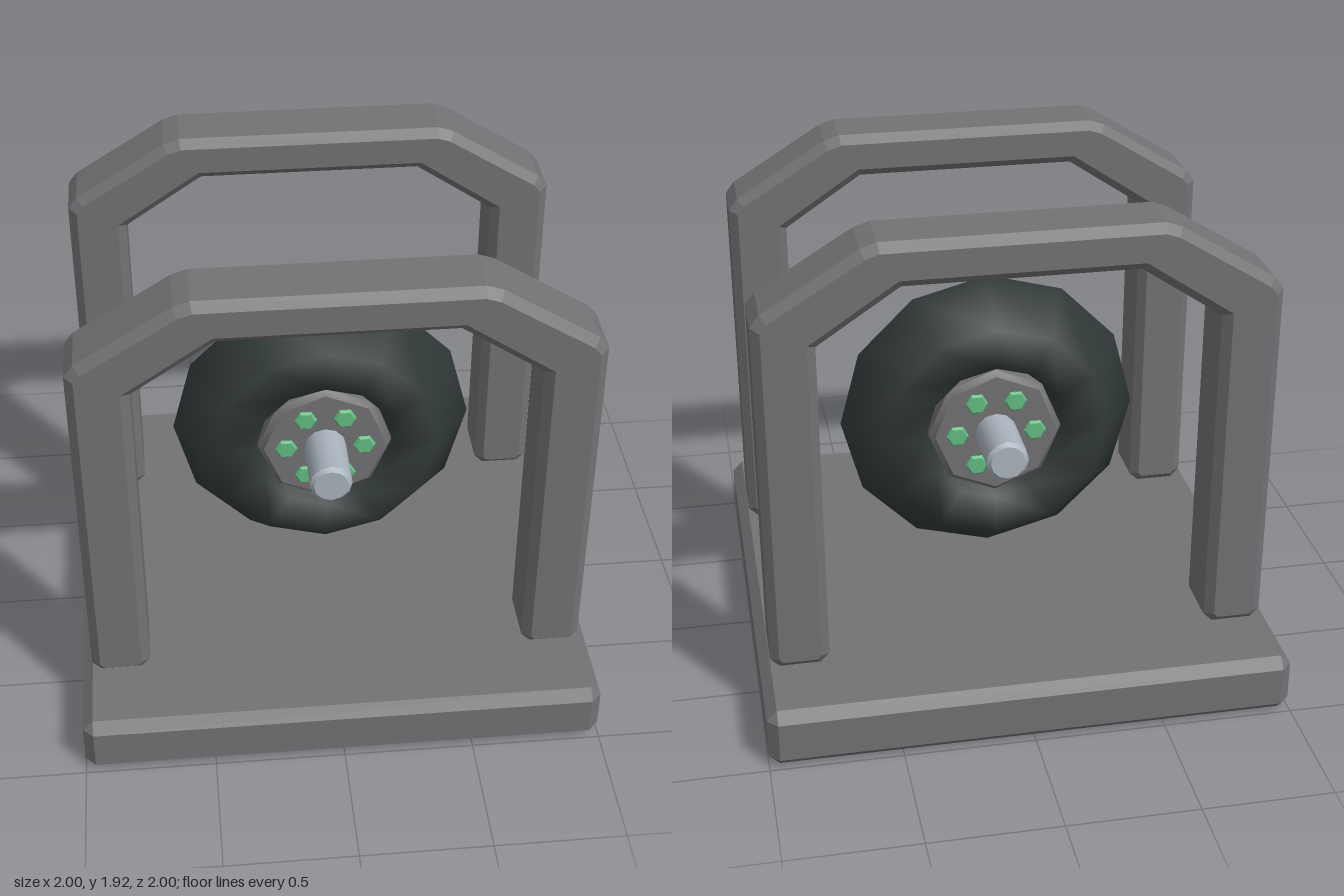
import * as THREE from 'three';
import { toCreasedNormals } from 'three/addons/utils/BufferGeometryUtils.js';
import { ConvexGeometry } from 'three/addons/geometries/ConvexGeometry.js';

const material = (name, color) => {
  const m = new THREE.MeshStandardMaterial({ color });
  m.name = name;
  return m;
};

// Box with every edge and corner cut at 45 degrees
function chamferedBox(w, h, d, c) {
  const points = [];
  for (const sx of [-1, 1]) for (const sy of [-1, 1]) for (const sz of [-1, 1]) {
    for (let full = 0; full < 3; full++) {
      const p = [w / 2, h / 2, d / 2].map((v, i) => (i === full ? v : v - c));
      points.push(new THREE.Vector3(sx * p[0], sy * p[1], sz * p[2]));
    }
  }
  return new ConvexGeometry(points);
}

// Closed rod along z with bevelled ends
function bevelledRod(radius, half, bevel, sides) {
  const profile = [
    [0, -half], [radius - bevel, -half], [radius, bevel - half],
    [radius, half - bevel], [radius - bevel, half], [0, half],
  ].map(([r, y]) => new THREE.Vector2(r, y));
  return toCreasedNormals(new THREE.LatheGeometry(profile, sides).rotateX(Math.PI / 2), 0.6);
}

export function createModel() {
  const model = new THREE.Group();
  model.name = 'wheelStand';
  const grey = material('grey metal', 0x727274);
  const rubber = material('dark rubber', 0x313939);
  const steel = material('pale steel', 0xaab4bd);
  const green = material('green bolts', 0x62bd80);

  const add = (parent, name, geometry, mat, x = 0, y = 0, z = 0) => {
    const mesh = new THREE.Mesh(geometry, mat);
    mesh.name = name;
    mesh.position.set(x, y, z);
    parent.add(mesh);
    return mesh;
  };

  // Base slab
  add(model, 'base', chamferedBox(2, 0.235, 2, 0.04), grey, 0, 0.1175, 0);

  // Front and back arches: one outline, mirrored in x and bevelled all round
  const half = [
    [0.43, 1.755], [0.735, 1.55], [0.735, 0.27], [0.77, 0.235], [0.925, 0.235],
    [0.96, 0.27], [0.96, 1.64], [0.925, 1.685], [0.57, 1.905], [0.51, 1.925],
  ];
  const outline = [...half, ...half.map(([x, y]) => [-x, y]).reverse()];
  const bevel = 0.033;
  const arch = new THREE.ExtrudeGeometry(
    new THREE.Shape(outline.map(([x, y]) => new THREE.Vector2(x, y))),
    {
      depth: 0.27 - 2 * bevel, bevelEnabled: true, bevelSegments: 1,
      bevelThickness: bevel, bevelSize: bevel, bevelOffset: -bevel,
    },
  ).translate(0, 0, bevel - 0.135);
  add(model, 'frontArch', arch, grey, 0, 0, 0.575);
  add(model, 'backArch', arch, grey, 0, 0, -0.575);

  // Wheel
  const wheel = new THREE.Group();
  wheel.name = 'wheel';
  wheel.position.y = 0.888;
  model.add(wheel);

  // Tyre: six-sided section swept in twelve steps, smooth shaded
  const section = [
    [0.22, 0], [0.285, -0.2], [0.447, -0.2], [0.594, 0],
    [0.447, 0.2], [0.285, 0.2], [0.22, 0],
  ].map(([r, y]) => new THREE.Vector2(r, y));
  add(wheel, 'tyre', new THREE.LatheGeometry(section, 12).rotateX(Math.PI / 2), rubber);

  add(wheel, 'hub', bevelledRod(0.265, 0.187, 0.022, 8), grey);
  add(wheel, 'axle', bevelledRod(0.083, 0.44, 0.015, 12), steel);

  // Six hexagonal bolts, showing on both sides of the hub
  const bolt = bevelledRod(0.045, 0.2, 0.008, 6).rotateZ(Math.PI / 6);
  for (let i = 0; i < 6; i++) {
    const a = (i * Math.PI) / 3;
    add(wheel, `bolt${i + 1}`, bolt, green, 0.155 * Math.cos(a), 0.155 * Math.sin(a), 0);
  }

  return model;
}
